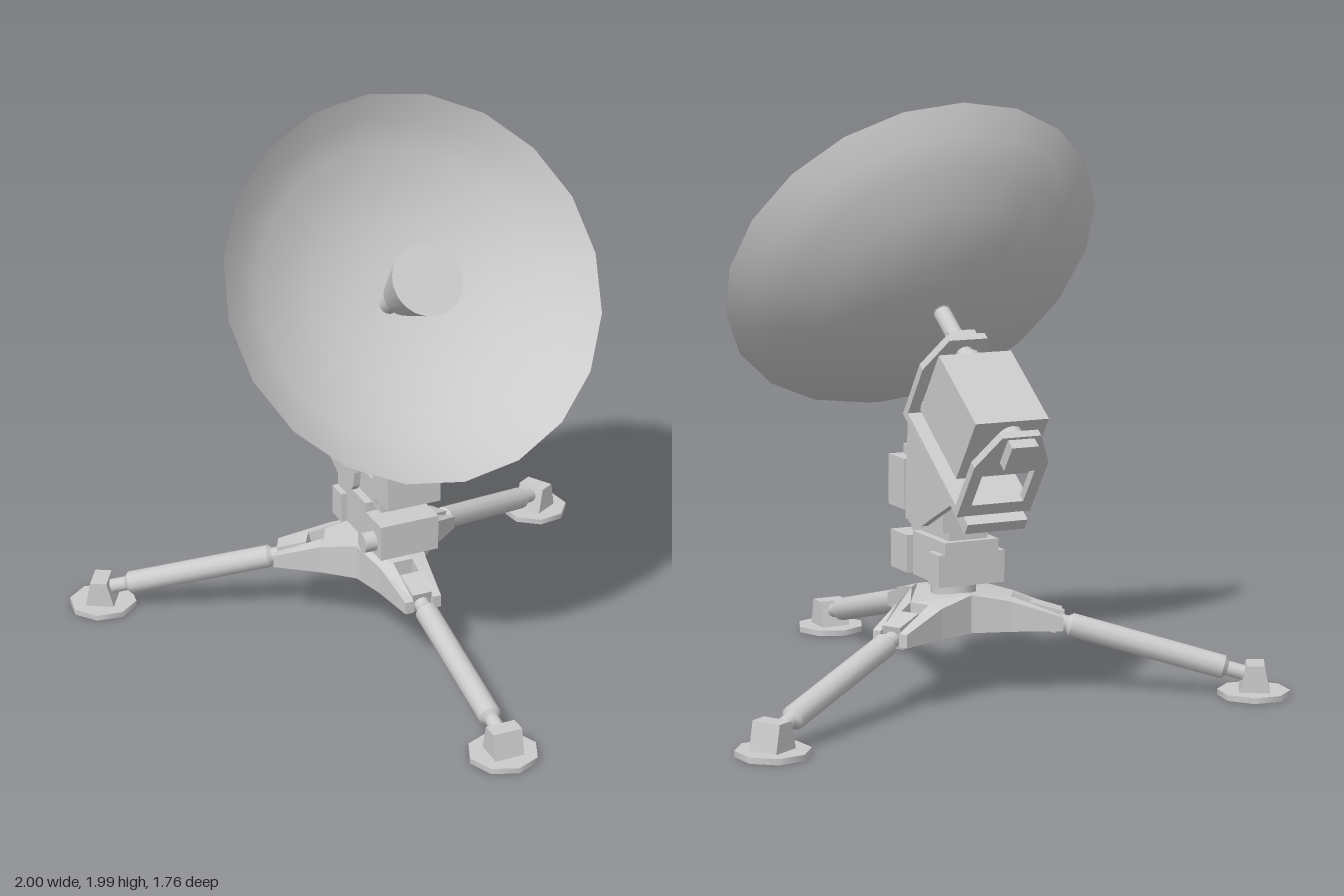
import * as THREE from 'three';

const grey = new THREE.MeshStandardMaterial({ color: 0xcccccc });
const thin = new THREE.MeshStandardMaterial({ color: 0xcccccc, side: THREE.DoubleSide });

function add(parent, name, geo, x = 0, y = 0, z = 0, mat = grey) {
  const mesh = new THREE.Mesh(geo, mat);
  mesh.name = name;
  mesh.position.set(x, y, z);
  parent.add(mesh);
  return mesh;
}

// Box given by its limits on each axis
function box(parent, name, [x0, x1], [y0, y1], [z0, z1]) {
  return add(parent, name, new THREE.BoxGeometry(x1 - x0, y1 - y0, z1 - z0),
    (x0 + x1) / 2, (y0 + y1) / 2, (z0 + z1) / 2);
}

// Round bar along z from z0 to z1
function rod(parent, name, r0, r1, z0, z1, sides = 12, y = 0) {
  const geo = new THREE.CylinderGeometry(r1, r0, z1 - z0, sides).rotateX(Math.PI / 2);
  return add(parent, name, geo, 0, y, (z0 + z1) / 2);
}

const shapeOf = (pts) => new THREE.Shape(pts.map(([x, y]) => new THREE.Vector2(x, y)));
const extrude = (shape, depth) => new THREE.ExtrudeGeometry(shape, { depth, bevelEnabled: false });

// Extrusion of a (z, y) outline, centred on x
function sidePlate(pts, width) {
  return extrude(shapeOf(pts.map(([z, y]) => [-z, y])), width)
    .translate(0, 0, -width / 2).rotateY(Math.PI / 2);
}

// Three-armed hub with slotted, sloping arms
function hubGeometry() {
  const half = [[0.2, -0.09], [0.375, -0.068], [0.375, -0.037], [0.2, -0.037]];
  const arm = [...half, ...half.map(([r, w]) => [r, -w]).reverse(), [0.07, 0.121]];
  const pts = [];
  for (let k = 0; k < 3; k++) {
    const t = -Math.PI / 2 + k * Math.PI * 2 / 3, c = Math.cos(t), s = Math.sin(t);
    for (const [r, w] of arm) pts.push([r * c - w * s, r * s + w * c]);
  }
  const geo = extrude(shapeOf(pts), 0.13).rotateX(-Math.PI / 2);
  const p = geo.attributes.position;
  for (let i = 0; i < p.count; i++) {
    if (p.getY(i) < 0.06) continue;
    const r = Math.hypot(p.getX(i), p.getZ(i));
    p.setY(i, 0.13 - 0.085 * THREE.MathUtils.clamp((r - 0.15) / 0.225, 0, 1));
  }
  geo.computeVertexNormals();
  return geo;
}

// One leg pointing along +z from the hub centre
function makeLeg() {
  const leg = new THREE.Group();
  leg.name = 'leg';
  const strut = new THREE.Group();
  strut.name = 'strut';
  strut.position.set(0, 0.237, 0.385);
  strut.rotation.x = 0.262;
  leg.add(strut);
  box(strut, 'legHinge', [-0.036, 0.036], [-0.035, 0.045], [-0.14, -0.03]);
  rod(strut, 'upperNeck', 0.028, 0.028, -0.05, 0.02);
  rod(strut, 'upperCollar', 0.028, 0.041, 0, 0.015);
  rod(strut, 'legTube', 0.041, 0.041, 0.015, 0.545);
  rod(strut, 'lowerCollar', 0.041, 0.026, 0.545, 0.56);
  rod(strut, 'lowerNeck', 0.026, 0.026, 0.56, 0.64);
  add(leg, 'footBlock', sidePlate([[0.965, 0.015], [1.07, 0.015], [1.05, 0.112], [0.99, 0.112]], 0.106));
  add(leg, 'footPad', new THREE.CylinderGeometry(0.123, 0.123, 0.02, 8), 0, 0.01, 1.015);
  return leg;
}

// Tripod stand, rotary base and lift housing
function makeBase() {
  const base = new THREE.Group();
  base.name = 'base';
  base.position.z = -0.26;
  add(base, 'tripodHub', hubGeometry(), 0, 0.225, 0);
  for (let k = 0; k < 3; k++) {
    const leg = makeLeg();
    leg.rotation.y = k * Math.PI * 2 / 3;
    base.add(leg);
  }
  add(base, 'turntableNeck', new THREE.CylinderGeometry(0.077, 0.077, 0.06, 16), 0, 0.365, 0);
  return base;
}

function makeTurret() {
  const turret = new THREE.Group();
  turret.name = 'turret';
  box(turret, 'rotaryHousing', [-0.1, 0.1], [0.39, 0.54], [-0.4, -0.155]);
  for (const s of [-1, 1]) {
    box(turret, 'rotarySidePad', [s * 0.11 - 0.012, s * 0.11 + 0.012], [0.39, 0.5], [-0.4, -0.32]);
  }
  box(turret, 'driveMotor', [-0.11, 0.11], [0.39, 0.52], [-0.13, 0]);
  box(turret, 'driveLink', [-0.06, 0.06], [0.42, 0.5], [-0.16, -0.12]);
  const knob = add(turret, 'driveKnob', new THREE.CylinderGeometry(0.036, 0.036, 0.05, 14), -0.13, 0.44, -0.063);
  knob.rotation.z = Math.PI / 2;
  box(turret, 'liftBase', [-0.072, 0.072], [0.53, 0.58], [-0.375, -0.085]);
  box(turret, 'liftHousing', [-0.095, 0.095], [0.57, 0.66], [-0.375, -0.085]);
  box(turret, 'liftColumn', [-0.085, 0.085], [0.57, 0.78], [-0.22, -0.085]);
  box(turret, 'controlBox', [-0.1, 0.1], [0.6, 0.775], [-0.087, 0.037]);
  box(turret, 'controlCover', [-0.055, 0.055], [0.775, 0.81], [-0.19, 0.015]);

  // Cheek plates carrying the tilting cradle
  const cheek = [[-0.19, 0.935], [-0.169, 0.66], [-0.18, 0.603], [-0.2, 0.58], [-0.232, 0.571],
    [-0.295, 0.582], [-0.39, 0.63], [-0.535, 0.7]];
  for (const s of [-1, 1]) add(turret, 'cheekPlate', sidePlate(cheek, 0.025), s * 0.123, 0, 0);
  return turret;
}

// Cradle end plate with tapered top and a window
function endPlate() {
  const shape = shapeOf([[-0.135, -0.29], [0.135, -0.29], [0.135, -0.065], [0.07, 0.06], [-0.07, 0.06], [-0.135, -0.065]]);
  shape.holes.push(shapeOf([[-0.095, -0.24], [-0.095, -0.1], [0.095, -0.1], [0.095, -0.24]]));
  return extrude(shape, 0.028);
}

// Cradle, electronics box and dish, all lying along the dish axis (+z before tilting)
function makeHead() {
  const head = new THREE.Group();
  head.name = 'tiltingHead';
  head.position.set(0, 1.44, 0.055);
  head.rotation.x = -THREE.MathUtils.degToRad(35);

  add(head, 'frontCradlePlate', endPlate(), 0, 0, -0.482);
  add(head, 'rearCradlePlate', endPlate(), 0, 0, -0.95);
  box(head, 'cradleFloor', [-0.135, 0.135], [-0.29, -0.262], [-0.95, -0.454]);
  box(head, 'cradleTray', [-0.11, 0.11], [-0.33, -0.288], [-0.99, -0.5]);
  box(head, 'electronicsBox', [-0.133, 0.133], [-0.19, 0.055], [-0.872, -0.542]);
  rod(head, 'mainShaft', 0.03, 0.03, -0.93, -0.26);
  box(head, 'frontBearing', [-0.05, 0.05], [-0.047, 0.047], [-0.456, -0.42]);
  box(head, 'rearBearing', [-0.048, 0.048], [-0.05, 0.05], [-0.988, -0.925]);
  for (const z of [-0.53, -0.9]) rod(head, 'shaftCollar', 0.045, 0.045, z - 0.018, z + 0.018);

  // Reflector
  const profile = [[0, -0.28], [0.1, -0.276], [0.2, -0.262], [0.3, -0.238], [0.4, -0.202],
    [0.52, -0.138], [0.6, -0.078], [0.674, 0]].map(([r, z]) => new THREE.Vector2(r, z));
  add(head, 'dish', new THREE.LatheGeometry(profile, 20).rotateX(Math.PI / 2), 0, 0, 0, thin);

  // Feed at the focus
  rod(head, 'feedStem', 0.034, 0.034, -0.28, -0.12);
  rod(head, 'feedHorn', 0.072, 0.126, -0.13, 0.108, 20);
  return head;
}

export function createModel() {
  const model = new THREE.Group();
  model.name = 'satelliteDish';
  model.add(makeBase(), makeTurret(), makeHead());
  return model;
}
